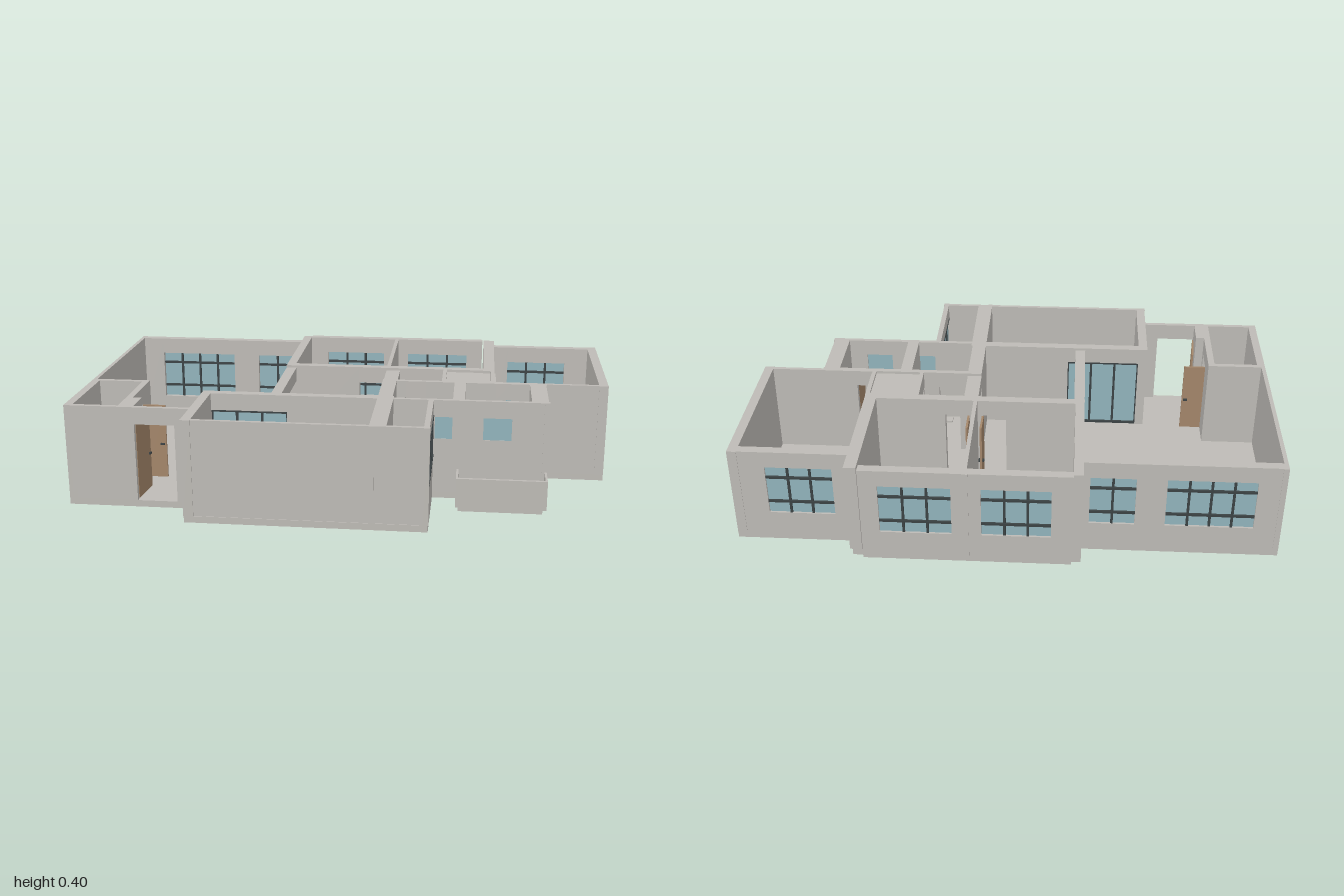
import * as THREE from 'three';

const mat = (name, color, side = THREE.FrontSide) => {
  const m = new THREE.MeshStandardMaterial({ color, side });
  m.name = name;
  return m;
};

export function createModel() {
  const root = new THREE.Group();
  root.name = 'floorPlan';
  const plaster = mat('plaster', 0xbebbb6);
  const glass = mat('glass', 0x92b4bc);
  const frame = mat('darkFrame', 0x3b4244);
  const wood = mat('wood', 0xa3866a);
  const TOP = 0.395, BASE = 0.035;

  // Box given by its limits on each axis
  function box(name, m, x0, x1, y0, y1, z0, z1, parent = root) {
    const mesh = new THREE.Mesh(new THREE.BoxGeometry(x1 - x0, y1 - y0, z1 - z0), m);
    mesh.position.set((x0 + x1) / 2, (y0 + y1) / 2, (z0 + z1) / 2);
    mesh.name = name;
    parent.add(mesh);
    return mesh;
  }

  // Wall on a footprint, with openings [from, to, bottom, top] along its long side
  function wall(name, x0, x1, z0, z1, holes = []) {
    const g = new THREE.Group();
    g.name = name;
    root.add(g);
    const alongX = x1 - x0 > z1 - z0;
    const piece = (a, b, y0, y1) => {
      if (b - a < 1e-4 || y1 - y0 < 1e-4) return;
      if (alongX) box(name, plaster, a, b, y0, y1, z0, z1, g);
      else box(name, plaster, x0, x1, y0, y1, a, b, g);
    };
    let at = alongX ? x0 : z0;
    for (const [a, b, y0, y1] of holes) {
      piece(at, a, BASE, TOP);
      piece(a, b, BASE, y0);
      piece(a, b, y1, TOP);
      at = b;
    }
    piece(at, alongX ? x1 : z1, BASE, TOP);
  }

  // Glazing with upright bars and optional cross bars; axis is the direction it runs
  function glazing(name, axis, a, b, y0, y1, at, columns, rows = [], edged = false) {
    const g = new THREE.Group();
    g.name = name;
    root.add(g);
    const w = b - a, t = 0.0045;
    const part = (n, m, u0, u1, v0, v1, d) => box(n, m, u0, u1, v0, v1, -d, d, g);
    part('pane', glass, 0, w, y0, y1, 0.004);
    for (let i = edged ? 0 : 1; i <= columns - (edged ? 0 : 1); i++) {
      const u = (w * i) / columns;
      part('uprightBar', frame, u - t, u + t, y0, y1, 0.01);
    }
    const bars = edged ? [...rows, y0 + t, y1 - t] : rows;
    for (const y of bars) part('crossBar', frame, 0, w, y - t, y + t, 0.012);
    if (axis === 'x') g.position.set(a, 0, at);
    else {
      g.rotation.y = -Math.PI / 2;
      g.position.set(at, 0, a);
    }
  }

  // Floor slab
  const outline = [[-1, -0.56], [-0.28, -0.56], [-0.28, -0.64], [-0.245, -0.64], [-0.245, -0.655],
    [0.515, -0.655], [0.515, -0.64], [0.555, -0.64], [0.555, -0.56], [1, -0.56], [1, 0.05],
    [0.765, 0.05], [0.765, 0.305], [0.34, 0.305], [0.34, 0.648], [-0.535, 0.648], [-0.535, 0.515], [-1, 0.515]];
  const slab = new THREE.ExtrudeGeometry(
    new THREE.Shape(outline.map(([x, z]) => new THREE.Vector2(x, z))), { depth: BASE - 0.01, bevelEnabled: false });
  slab.rotateX(Math.PI / 2).translate(0, BASE, 0);
  const floor = new THREE.Mesh(slab, plaster);
  floor.name = 'floor';
  root.add(floor);

  // Back walls with barred windows
  const backWindows = [[-0.9, -0.58, 4, -0.56], [-0.47, -0.305, 2, -0.56], [-0.17, 0.08, 3, -0.655],
    [0.187, 0.447, 3, -0.655], [0.626, 0.87, 3, -0.56]];
  const holes = backWindows.map(([a, b]) => [a, b, 0.13, 0.33]);
  wall('livingBackWall', -1, -0.28, -0.56, -0.525, holes.slice(0, 2));
  wall('bedroomBackWall', -0.245, 0.515, -0.655, -0.62, holes.slice(2, 4));
  wall('sideRoomBackWall', 0.555, 1, -0.56, -0.525, holes.slice(4));
  for (const [a, b, columns, z] of backWindows)
    glazing('backWindow', 'x', a, b, 0.13, 0.33, z + 0.012, columns, [0.18, 0.285]);

  // Outer side and front walls
  wall('livingSideWall', -1, -0.985, -0.56, 0.515);
  wall('sideRoomOuterWall', 0.965, 1, -0.56, 0.05);
  wall('sideRoomFrontWall', 0.565, 1, 0.035, 0.05, [[0.57, 0.63, BASE, 0.33]]);
  wall('entranceWall', -1, -0.53, 0.497, 0.515, [[-0.74, -0.59, BASE, 0.33]]);
  wall('loungeFrontWall', -0.535, 0.34, 0.63, 0.645);
  wall('loungeSideWall', -0.535, -0.5, 0.275, 0.645);
  wall('balconyWall', 0.32, 0.34, 0.29, 0.645, [[0.32, 0.638, 0.18, 0.34]]);
  glazing('balconyWindow', 'z', 0.32, 0.638, 0.18, 0.34, 0.331, 3, [], true);

  // Bedroom walls
  wall('bedroomLeftWall', -0.28, -0.245, -0.64, -0.13);
  wall('bedroomRightWall', 0.52, 0.565, -0.64, -0.125);
  wall('bedroomDivider', 0.13, 0.145, -0.655, -0.13);
  wall('bedroomFrontWall', -0.28, 0.565, -0.165, -0.13, [[0.02, 0.11, BASE, 0.33], [0.165, 0.255, BASE, 0.33]]);

  // Ceiling beams over the open passages
  box('hallBeam', plaster, -0.28, -0.24, 0.33, TOP - 0.01, -0.13, 0.275);
  box('corridorBeam', plaster, 0.13, 0.185, 0.33, TOP - 0.01, -0.13, 0.04);

  // Lounge wall with sliding glass door
  wall('loungeBackWall', -0.535, 0.19, 0.272, 0.307, [[-0.5, -0.21, BASE, 0.33]]);
  glazing('slidingDoor', 'x', -0.5, -0.21, BASE, 0.33, 0.288, 3, [], true);
  wall('balconyDivider', 0.13, 0.19, 0.29, 0.645);

  // Covered passage to the side room
  wall('passageLeftWall', 0.36, 0.375, -0.13, 0.05, [[-0.11, 0.03, BASE, 0.33]]);
  wall('passageRightWall', 0.55, 0.565, -0.13, 0.05, [[-0.11, 0.03, BASE, 0.33]]);
  box('passageCeiling', plaster, 0.36, 0.57, 0.365, 0.385, -0.13, 0.04);

  // Bathrooms
  wall('bathBackWall', 0.13, 0.57, 0.04, 0.06, [[0.22, 0.3, BASE, 0.33]]);
  box('bathLintel', plaster, 0.57, 0.63, 0.33, TOP, 0.04, 0.06);
  wall('bathBackWallEnd', 0.63, 0.765, 0.04, 0.06);
  wall('bathLeftWall', 0.13, 0.185, 0.04, 0.305);
  wall('bathDivider', 0.41, 0.455, 0.04, 0.305);
  wall('bathRightWall', 0.7, 0.762, 0.04, 0.305);
  wall('bathFrontWall', 0.185, 0.762, 0.288, 0.305, [[0.345, 0.425, 0.245, 0.33], [0.525, 0.63, 0.245, 0.33]]);
  for (const [a, b] of [[0.345, 0.425], [0.525, 0.63]])
    box('bathWindow', glass, a, b, 0.245, 0.33, 0.295, 0.303);

  // Store room beside the entrance
  wall('storeBackWall', -1, -0.775, 0.155, 0.175);
  wall('storeOuterWall', -1, -0.97, 0.155, 0.515);
  wall('storeInnerWall', -0.8, -0.775, 0.155, 0.4, [[0.265, 0.365, BASE, 0.33]]);
  box('storeCornerWall', plaster, -0.8, -0.742, BASE, TOP, 0.39, 0.515);

  // Corner columns, slightly proud of the walls
  for (const [x0, x1, z0, z1] of [[-1, -0.98, -0.562, -0.54], [0.965, 1, -0.562, -0.545], [0.125, 0.147, -0.658, -0.62],
    [0.13, 0.147, 0.63, 0.648], [0.32, 0.342, 0.632, 0.648], [-0.537, -0.5, 0.63, 0.648],
    [0.747, 0.766, 0.285, 0.307], [0.965, 1, 0.035, 0.053]])
    box('column', plaster, x0, x1, BASE, TOP, z0, z1);

  // Outside ledge with parapet
  box('ledgeSlab', plaster, 0.44, 0.75, 0, 0.018, 0.3, 0.41);
  box('parapetFront', plaster, 0.43, 0.765, 0.015, 0.128, 0.4, 0.412);
  box('parapetLeft', plaster, 0.43, 0.438, 0.015, 0.128, 0.305, 0.412);
  box('parapetRight', plaster, 0.757, 0.765, 0.015, 0.128, 0.305, 0.412);

  // Open door leaves with handles: hinge position, length, turn
  for (const [x, z, length, turn] of [[-0.775, 0.262, 0.085, 0], [-0.742, 0.497, 0.135, 1.48],
    [0.11, -0.165, 0.09, 1.55], [0.165, -0.165, 0.09, 1.57], [0.38, -0.122, 0.14, 0], [0.628, 0.16, 0.095, 1.5]]) {
    const door = new THREE.Group();
    door.name = 'door';
    box('leaf', wood, 0, length, BASE + 0.003, 0.328, -0.004, 0.004, door);
    box('handle', frame, length - 0.022, length - 0.006, 0.17, 0.177, -0.011, 0.011, door);
    door.position.set(x, 0, z);
    door.rotation.y = turn;
    root.add(door);
  }

  // Bathroom fixtures
  const bowl = new THREE.LatheGeometry([[0, 0], [0.016, 0], [0.018, 0.03], [0.03, 0.06], [0.03, 0.068],
    [0.021, 0.068], [0.016, 0.05], [0, 0.045]].map(([r, y]) => new THREE.Vector2(r, y)), 20);
  for (const [x, z] of [[0.37, 0.125], [0.5, 0.22]]) {
    const toilet = new THREE.Mesh(bowl, plaster);
    toilet.name = 'toiletBowl';
    toilet.scale.z = 1.2;
    toilet.position.set(x, BASE, z);
    root.add(toilet);
  }
  box('toiletTank', plaster, 0.537, 0.55, BASE, 0.14, 0.19, 0.25);
  box('drain', plaster, 0.275, 0.315, BASE, 0.043, 0.24, 0.272);
  box('basin', plaster, 0.457, 0.48, 0.12, 0.15, 0.12, 0.16);
  return root;
}
